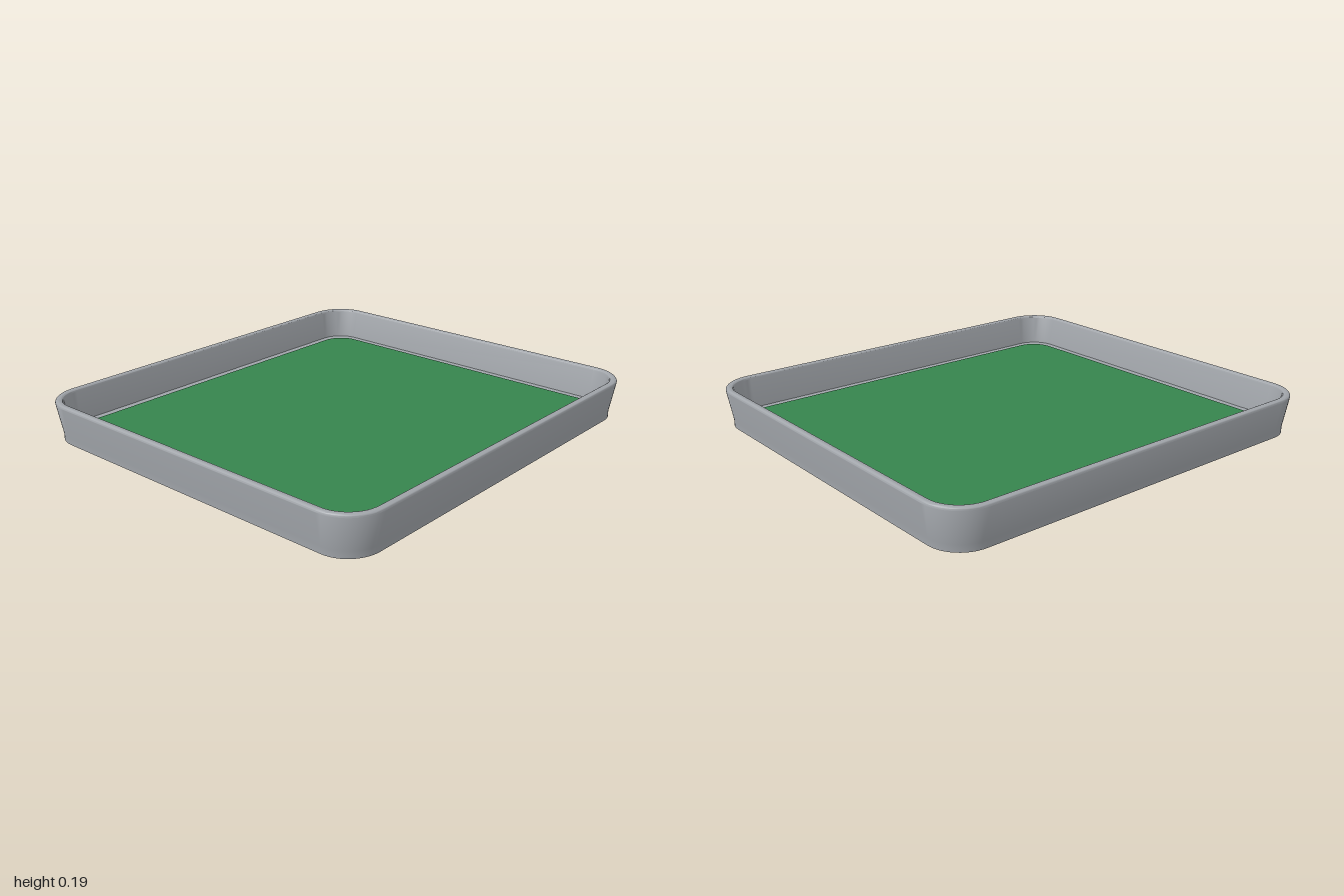
import * as THREE from 'three';
import { toCreasedNormals } from 'three/addons/utils/BufferGeometryUtils.js';

const HALF_X = 1, HALF_Z = 0.915, CORNER = 0.175, HEIGHT = 0.185, FLOOR_Y = 0.04;
const STEPS = 12;

// Rounded rectangle outline, moved inward by an inset
function outline(inset, radius = CORNER - inset) {
  const cx = HALF_X - inset - radius, cz = HALF_Z - inset - radius;
  const points = [];
  [[1, 1], [-1, 1], [-1, -1], [1, -1]].forEach(([sx, sz], quarter) => {
    for (let i = 0; i <= STEPS; i++) {
      const a = (quarter + i / STEPS) * Math.PI / 2;
      points.push(new THREE.Vector2(sx * cx + radius * Math.cos(a), sz * cz + radius * Math.sin(a)));
    }
  });
  return points;
}

// Skin over a profile of [inset, height] pairs, from outer foot over the rim to the floor
function loft(profile) {
  const positions = [], index = [];
  const n = 4 * (STEPS + 1);
  profile.forEach(([inset, y], row) => {
    outline(inset).forEach((p, i) => {
      positions.push(p.x, y, p.y);
      if (row === profile.length - 1) return;
      const a = row * n + i, b = row * n + (i + 1) % n;
      index.push(a, a + n, b, b, a + n, b + n);
    });
  });
  const geometry = new THREE.BufferGeometry();
  geometry.setAttribute('position', new THREE.Float32BufferAttribute(positions, 3));
  geometry.setIndex(index);
  return toCreasedNormals(geometry, 0.5);
}

export function createModel() {
  const group = new THREE.Group();
  group.name = 'tray';
  const grey = new THREE.MeshStandardMaterial({ color: 0xa0a4a9 });
  grey.name = 'grey';
  const green = new THREE.MeshStandardMaterial({ color: 0x36844d });
  green.name = 'green';

  const add = (name, geometry, material) => {
    const mesh = new THREE.Mesh(geometry, material);
    mesh.name = name;
    group.add(mesh);
    return mesh;
  };

  // Flared wall with a rounded rim
  const profile = [[0.025, 0], [0.025, 0.03]];
  const r = 0.012, rimWidth = 0.034;
  for (let i = 0; i <= 8; i++) {
    const a = i / 8 * Math.PI / 2;
    profile.push([r - r * Math.cos(a), HEIGHT - r + r * Math.sin(a)]);
  }
  for (let i = 0; i <= 8; i++) {
    const a = i / 8 * Math.PI / 2;
    profile.push([rimWidth - r + r * Math.sin(a), HEIGHT - r + r * Math.cos(a)]);
  }
  profile.push([0.058, FLOOR_Y]);
  add('wall', loft(profile), grey);

  // Floor and underside
  const floor = new THREE.ShapeGeometry(new THREE.Shape(outline(0.058)));
  floor.rotateX(-Math.PI / 2);
  add('floor', floor, grey).position.y = FLOOR_Y;
  const underside = new THREE.ShapeGeometry(new THREE.Shape(outline(0.025)));
  underside.rotateX(Math.PI / 2);
  add('underside', underside, grey);

  // Thin green mat on the floor
  const mat = new THREE.ExtrudeGeometry(new THREE.Shape(outline(0.098, 0.11)), { depth: 0.005, bevelEnabled: false });
  mat.rotateX(-Math.PI / 2);
  add('mat', mat, green).position.y = FLOOR_Y;

  return group;
}
